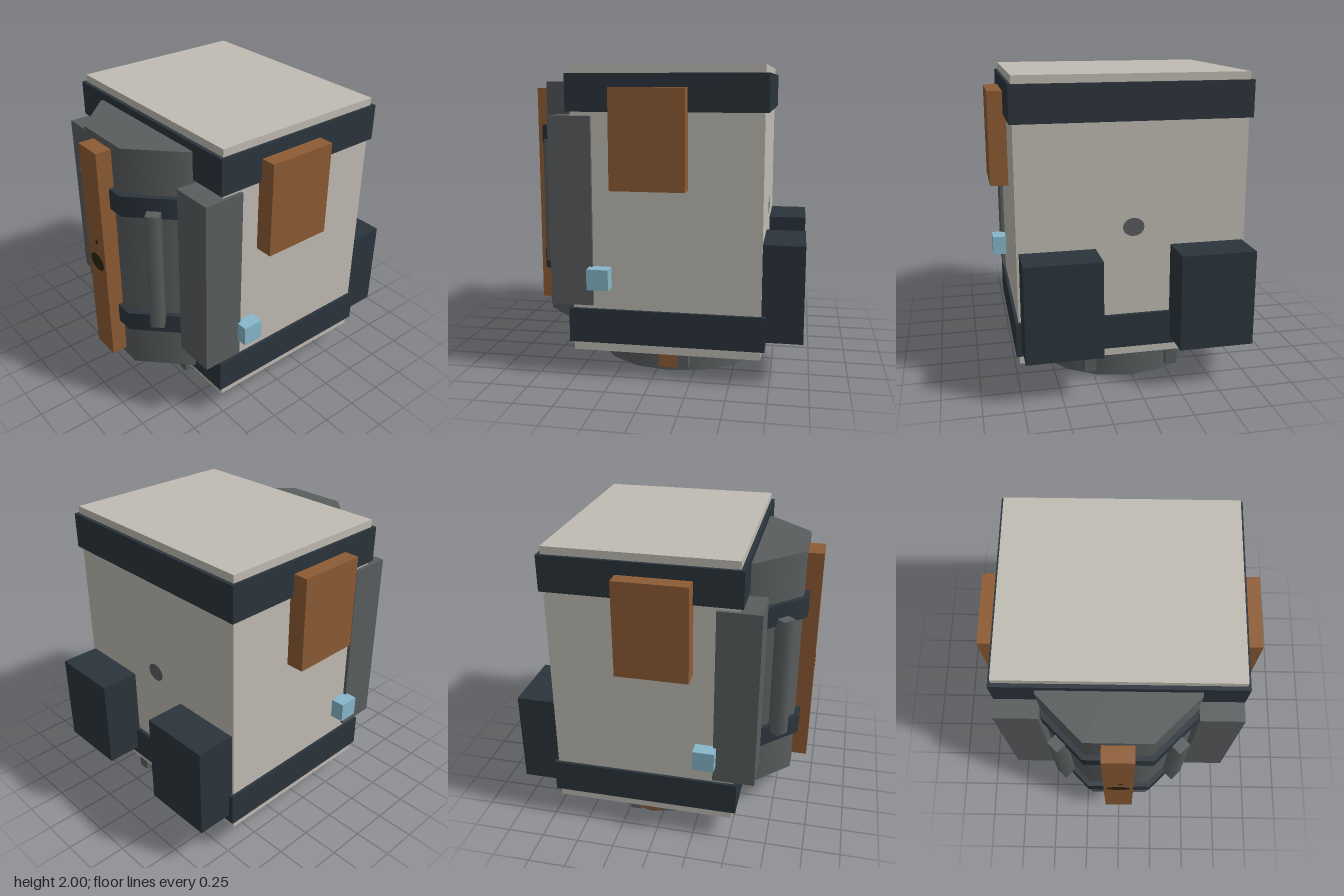
import * as THREE from 'three';

const mat = (name, color) => {
  const m = new THREE.MeshStandardMaterial({ color });
  m.name = name;
  return m;
};

export function createModel() {
  const cream = mat('cream', 0xc0bcb3);
  const navy = mat('navy', 0x2b343c);
  const grey = mat('grey', 0x595d5e);
  const orange = mat('orange', 0x8d5b33);
  const blue = mat('blue', 0x86b8cb);
  const stain = mat('stain', 0x30260f);

  const model = new THREE.Group();
  model.name = 'storageModule';

  const add = (name, geometry, material, x, y, z) => {
    const mesh = new THREE.Mesh(geometry, material);
    mesh.name = name;
    mesh.position.set(x, y, z);
    model.add(mesh);
    return mesh;
  };
  // Box given by its extents on each axis
  const box = (name, material, [x0, x1], [y0, y1], [z0, z1]) =>
    add(name, new THREE.BoxGeometry(x1 - x0, y1 - y0, z1 - z0), material,
      (x0 + x1) / 2, (y0 + y1) / 2, (z0 + z1) / 2);
  // The same box on the left and right sides
  const pair = (name, material, [x0, x1], y, z) => {
    box(name + 'Left', material, [x0, x1], y, z);
    box(name + 'Right', material, [-x1, -x0], y, z);
  };
  // Upright prism with a flat side to the front; a is the centre-to-flat distance
  const octagon = (name, material, a, y0, y1, z) => {
    const geometry = new THREE.CylinderGeometry(a / Math.cos(Math.PI / 8), a / Math.cos(Math.PI / 8), y1 - y0, 8);
    geometry.rotateY(Math.PI / 8);
    return add(name, geometry, material, 0, (y0 + y1) / 2, z);
  };

  // Main body with its two wrap-around bands
  box('body', cream, [-0.745, 0.745], [0.17, 2], [-0.695, 0.515]);
  box('lowerBand', navy, [-0.765, 0.765], [0.23, 0.455], [-0.72, 0.54]);
  box('upperBand', navy, [-0.765, 0.765], [1.715, 1.95], [-0.72, 0.54]);

  // Octagonal front drum with hoops
  octagon('frontDrum', grey, 0.495, 0.27, 1.9, 0.355);
  octagon('lowerHoop', navy, 0.53, 0.58, 0.715, 0.355);
  octagon('upperHoop', navy, 0.53, 1.46, 1.6, 0.355);
  box('frontStrip', orange, [-0.1, 0.1], [0.32, 1.855], [0.84, 0.955]);

  // Upright rails on the slanted drum faces
  for (const s of [-1, 1]) {
    add('rail', new THREE.CylinderGeometry(0.064, 0.064, 0.84, 4), grey, s * 0.383, 1.09, 0.757);
  }

  // Corner pillars, side panels, lamps and rear boxes
  pair('cornerPillar', grey, [0.49, 0.767], [0.48, 1.69], [0.38, 0.655]);
  pair('sidePanel', orange, [0.74, 0.865], [1.24, 1.865], [-0.23, 0.24]);
  pair('sideLamp', blue, [0.7, 0.84], [0.6, 0.735], [0.26, 0.4]);
  pair('rearBox', navy, [0.245, 0.73], [0.285, 0.91], [-0.957, -0.69]);

  // Round base with lugs around its rim
  add('base', new THREE.CylinderGeometry(0.585, 0.585, 0.18, 16), grey, 0, 0.09, -0.087);
  for (const z of [-0.61, 0.445]) {
    pair('baseLug', grey, [0.238, 0.315], [0.045, 0.18], [z - 0.05, z + 0.05]);
  }
  pair('sideLug', grey, [0.55, 0.635], [0.045, 0.18], [-0.22, -0.15]);
  pair('sideClip', orange, [0.56, 0.607], [0.03, 0.18], [-0.15, -0.02]);

  // Round worn spots on the front strip and the back wall
  const spot = (name, material, rx, ry, x, y, z, turn = 0) => {
    const mesh = add(name, new THREE.CircleGeometry(1, 16), material, x, y, z);
    mesh.scale.set(rx, ry, 1);
    mesh.rotation.y = turn;
  };
  spot('frontSpot', stain, 0.08, 0.06, 0, 1.04, 0.957);
  spot('frontSpeck', stain, 0.018, 0.018, 0.015, 1.2, 0.957);
  spot('backSpot', grey, 0.07, 0.06, 0, 1.04, -0.698, Math.PI);

  return model;
}
